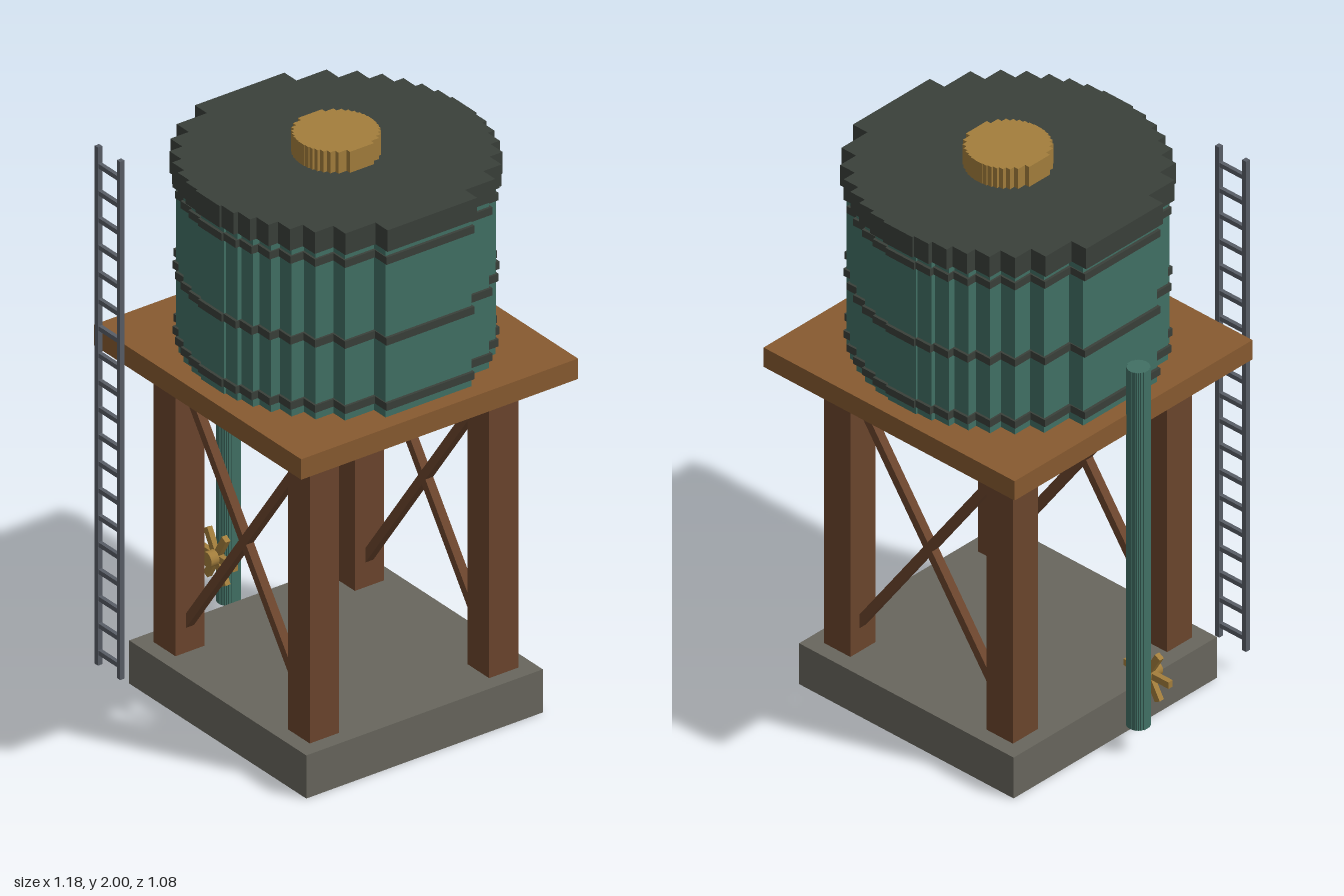
import * as THREE from 'three';

const CX = 0.056, CZ = -0.01; // tower axis

const mat = (name, color) => {
  const m = new THREE.MeshStandardMaterial({ color });
  m.name = name;
  return m;
};

// Round drum built from 16 straight columns, giving a stepped outline
function steppedDrum(radius, height, columns = 16) {
  const w = (2 * radius) / columns;
  const upper = [], lower = [];
  for (let i = 0; i < columns; i++) {
    const x0 = -radius + i * w, mid = x0 + w / 2;
    const d = Math.sqrt(radius * radius - mid * mid);
    upper.push(new THREE.Vector2(x0, d), new THREE.Vector2(x0 + w, d));
    lower.push(new THREE.Vector2(x0, -d), new THREE.Vector2(x0 + w, -d));
  }
  // drop the doubled points where two neighbouring columns are equal
  const points = [...lower, ...upper.reverse()].filter(
    (p, i, all) => i === 0 || p.distanceTo(all[i - 1]) > 1e-6);
  const geo = new THREE.ExtrudeGeometry(new THREE.Shape(points), { depth: height, bevelEnabled: false });
  return geo.rotateX(-Math.PI / 2);
}

export function createModel() {
  const model = new THREE.Group();
  model.name = 'waterTower';

  const concrete = mat('concrete', 0x68665d);
  const timber = mat('darkTimber', 0x6b452d);
  const plank = mat('plankWood', 0x875a30);
  const teal = mat('tealPaint', 0x417064);
  const iron = mat('darkIron', 0x3a403a);
  const brass = mat('brass', 0xa37e3c);
  const steel = mat('ladderSteel', 0x585d66);

  const add = (name, geo, material, x, y, z, parent = model) => {
    const mesh = new THREE.Mesh(geo, material);
    mesh.name = name;
    mesh.position.set(x, y, z);
    parent.add(mesh);
    return mesh;
  };
  const box = (name, w, h, d, material, x, y, z, parent) =>
    add(name, new THREE.BoxGeometry(w, h, d), material, x, y, z, parent);
  const drum = (name, r, y0, y1, material, x = CX, z = CZ) =>
    add(name, steppedDrum(r, y1 - y0), material, x, y0, z);

  // Foundation and platform
  box('foundation', 0.91, 0.152, 0.91, concrete, CX, 0.076, CZ);
  box('platform', 1.065, 0.072, 1.065, plank, CX, 1.22, CZ);

  // Four legs, with crossed braces on the front and back
  const legOffset = 0.345;
  for (const sz of [1, -1]) {
    for (const sx of [1, -1]) {
      box('leg', 0.112, 1.034, 0.112, timber, CX + sx * legOffset, 0.668, CZ + sz * legOffset);
      const brace = box('brace', 1.1, 0.03, 0.03, timber, CX, 0.668, CZ + sz * legOffset);
      brace.rotation.z = sx * Math.atan2(0.81, 0.58);
    }
  }

  // Tank, hoops, lid and hatch
  drum('tank', 0.476, 1.256, 1.852, teal);
  for (const y of [1.297, 1.527, 1.812]) drum('hoop', 0.486, y - 0.013, y + 0.013, iron);
  drum('lid', 0.495, 1.85, 1.926, iron);
  drum('hatch', 0.134, 1.926, 2.0, brass);

  // Standpipe beside the platform
  const pipeX = -0.497;
  drum('standpipe', 0.037, 0.098, 1.43, teal, pipeX, CZ);

  // Valve wheel: hub and three crossing bars
  const valve = new THREE.Group();
  valve.name = 'valve';
  valve.position.set(pipeX, 0.268, 0.034);
  model.add(valve);
  const hub = new THREE.CylinderGeometry(0.026, 0.026, 0.052, 16).rotateX(Math.PI / 2);
  add('valveHub', hub, brass, 0, 0, 0.014, valve);
  for (let i = 0; i < 3; i++) {
    box('valveSpoke', 0.19, 0.024, 0.019, brass, 0, 0, 0, valve).rotation.z = (i * Math.PI) / 3;
  }

  // Ladder on the front edge of the platform
  const ladder = new THREE.Group();
  ladder.name = 'ladder';
  ladder.position.set(-0.383, 0, 0.532);
  model.add(ladder);
  for (const s of [1, -1]) box('ladderRail', 0.017, 1.826, 0.017, steel, s * 0.057, 0.993, 0, ladder);
  for (let i = 0; i < 19; i++) {
    box('ladderRung', 0.114, 0.016, 0.014, steel, 0, 0.125 + i * 0.0953, 0, ladder);
  }

  return model;
}
